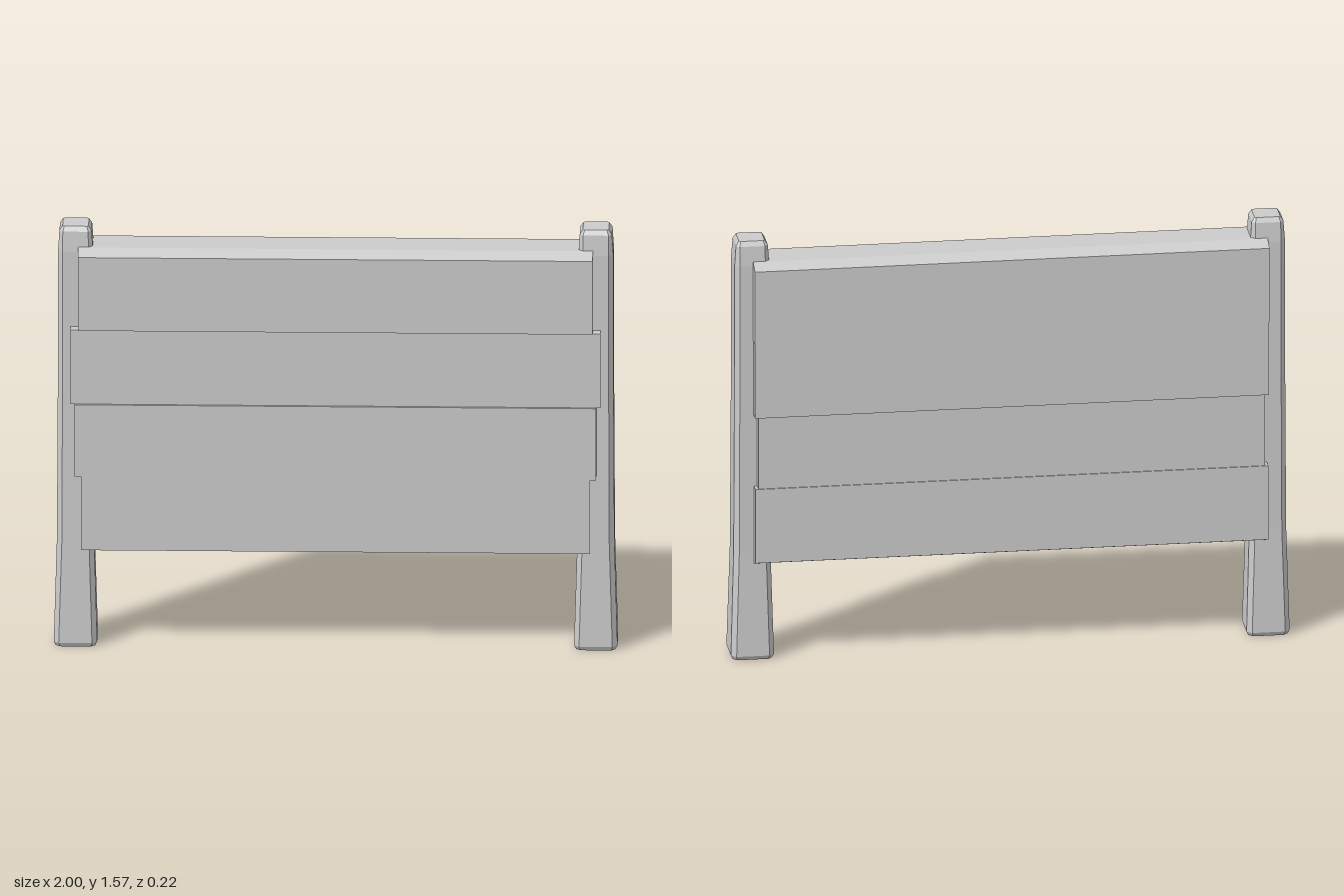
import * as THREE from 'three';

const material = new THREE.MeshStandardMaterial({ color: 0xcccccc, flatShading: true });

// Chamfered square outline, counter-clockwise in (x, z)
function ring(half, chamfer) {
  const a = half, b = half - chamfer;
  return [[a, -b], [a, b], [b, a], [-b, a], [-a, b], [-a, -b], [-b, -a], [b, -a]];
}

// Post lofted from octagonal sections: [y, half width, half depth, chamfer]
function postGeometry() {
  const sections = [
    [0, 0.07, 0.07, 0.015],
    [0.015, 0.077, 0.078, 0.018],
    [0.4, 0.066, 0.067, 0.018],
    [0.95, 0.063, 0.065, 0.017],
    [1.48, 0.062, 0.064, 0.016],
    [1.553, 0.057, 0.057, 0.012],
    [1.57, 0.046, 0.046, 0.006],
  ];
  const positions = [], index = [];
  for (const [y, w, d, c] of sections)
    for (const [x, z] of ring(1, c / w)) positions.push(x * w, y, z * d);
  const last = (sections.length - 1) * 8;
  for (let s = 0; s < last; s += 8)
    for (let i = 0; i < 8; i++) {
      const a = s + i, b = s + (i + 1) % 8;
      index.push(a, a + 8, b, b, a + 8, b + 8);
    }
  // End caps
  for (let i = 1; i < 7; i++) {
    index.push(0, i, i + 1);
    index.push(last, last + i + 1, last + i);
  }
  const g = new THREE.BufferGeometry();
  g.setAttribute('position', new THREE.Float32BufferAttribute(positions, 3));
  g.setIndex(index);
  const flat = g.toNonIndexed();
  flat.computeVertexNormals();
  return flat;
}

// Plank: a (depth, height) profile extruded along x; the outer rows get sloped edges
function plankGeometry(y0, y1, depth, halfLength, slopeTop, slopeBottom) {
  const core = 0.065;
  const pts = [[0, y0]];
  if (slopeBottom) pts.push([core, y0], [depth, y0 + 0.015]);
  else pts.push([depth, y0]);
  if (slopeTop) pts.push([depth, y1 - 0.022], [core, y1]);
  else pts.push([depth, y1]);
  pts.push([0, y1]);
  const shape = new THREE.Shape(pts.map(([z, y]) => new THREE.Vector2(z, y)));
  const g = new THREE.ExtrudeGeometry(shape, { depth: halfLength * 2, bevelEnabled: false });
  g.translate(0, 0, -halfLength);
  g.rotateY(-Math.PI / 2);
  return g;
}

export function createModel() {
  const model = new THREE.Group();
  model.name = 'plankBoard';

  // Posts
  const post = postGeometry();
  for (const side of [1, -1]) {
    const mesh = new THREE.Mesh(post, material);
    mesh.name = side > 0 ? 'leftPost' : 'rightPost';
    mesh.position.x = side * 0.923;
    model.add(mesh);
  }

  // Planks, top to bottom: [depth, half length]
  const levels = [1.497, 1.2, 0.922, 0.653, 0.36];
  const faces = {
    front: [[0.112, 0.913], [0.103, 0.94], [0.112, 0.925], [0.108, 0.903]],
    back: [[0.11, 0.921], [0.109, 0.92], [0.101, 0.907], [0.105, 0.918]],
  };
  for (const [name, rows] of Object.entries(faces)) {
    const face = new THREE.Group();
    face.name = name + 'Planks';
    rows.forEach(([depth, half], i) => {
      const g = plankGeometry(levels[i + 1], levels[i], depth, half, i === 0, i === 3);
      const plank = new THREE.Mesh(g, material);
      plank.name = name + 'Plank' + (i + 1);
      face.add(plank);
    });
    if (name === 'back') face.rotation.y = Math.PI;
    model.add(face);
  }
  return model;
}
